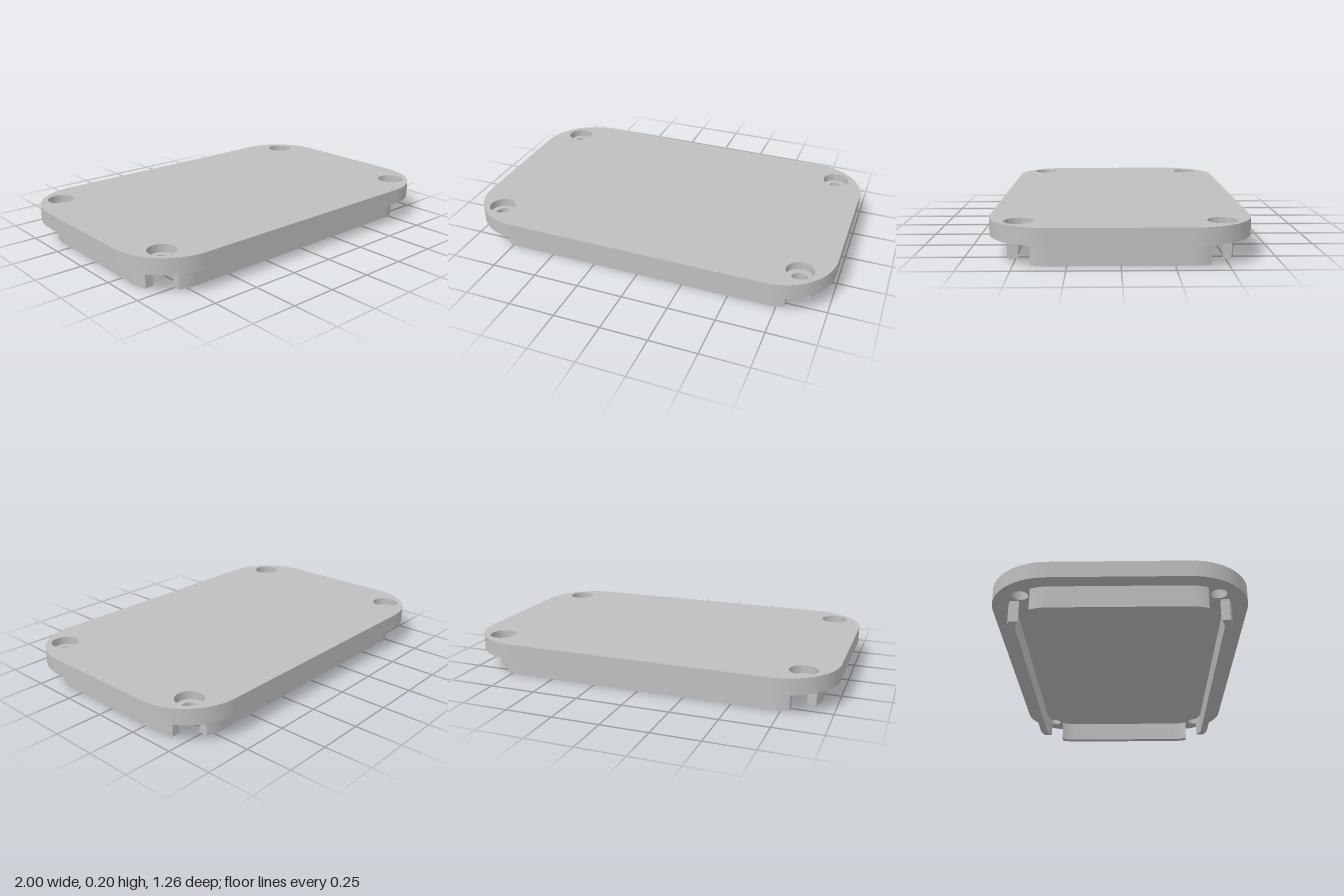
import * as THREE from 'three';
import { toCreasedNormals } from 'three/addons/utils/BufferGeometryUtils.js';

const HALF_X = 1, HALF_Z = 0.63, CORNER = 0.3;
const PLATE_BOTTOM = 0.113, PLATE_TOP = 0.197, SEAT_Y = 0.155;
const HOLE_X = 0.84, HOLE_Z = 0.475, HOLE_R = 0.04, BORE_R = 0.071;
const LIP_OUTER = 0.22, LIP_INNER = 0.18, LIP_OVERRUN = 0.09;

// Extrude a plan shape upwards from y0 to y1, smooth on curves and sharp on edges
function extrudeUp(shape, y0, y1) {
  const g = new THREE.ExtrudeGeometry(shape, { depth: y1 - y0, bevelEnabled: false, curveSegments: 24 });
  g.rotateX(-Math.PI / 2);
  g.translate(0, y0, 0);
  return toCreasedNormals(g, 0.5);
}

// Rounded rectangle with four bored holes
function plateShape(holes) {
  const s = new THREE.Shape();
  const cx = HALF_X - CORNER, cz = HALF_Z - CORNER, q = Math.PI / 2;
  [[cx, cz], [-cx, cz], [-cx, -cz], [cx, -cz]].forEach(([x, z], i) =>
    s.absarc(x, z, CORNER, i * q, (i + 1) * q, false));
  s.closePath();
  for (const [x, z] of holes) {
    const h = new THREE.Path();
    h.absarc(x, z, BORE_R, 0, Math.PI * 2, true);
    s.holes.push(h);
  }
  return s;
}

// Thin strip whose ends start to follow the corner arcs, then stop short
function lipShape(halfStraight, arcCentre) {
  const s = new THREE.Shape();
  const a = Math.acos(LIP_OVERRUN / LIP_OUTER), b = Math.acos(LIP_OVERRUN / LIP_INNER);
  const q = Math.PI / 2;
  s.absarc(halfStraight, arcCentre, LIP_OUTER, a, q, false);
  s.absarc(-halfStraight, arcCentre, LIP_OUTER, q, Math.PI - a, false);
  s.absarc(-halfStraight, arcCentre, LIP_INNER, Math.PI - b, q, true);
  s.absarc(halfStraight, arcCentre, LIP_INNER, q, b, true);
  s.closePath();
  return s;
}

export function createModel() {
  const model = new THREE.Group();
  model.name = 'enclosureLid';
  const grey = new THREE.MeshStandardMaterial({ color: 0xbfbfbf });
  grey.name = 'grey';

  const add = (name, geometry) => {
    const mesh = new THREE.Mesh(geometry, grey);
    mesh.name = name;
    model.add(mesh);
    return mesh;
  };

  // Lid plate
  const holes = [[1, 1], [-1, 1], [-1, -1], [1, -1]].map(([x, z]) => [x * HOLE_X, z * HOLE_Z]);
  add('lidPlate', extrudeUp(plateShape(holes), PLATE_BOTTOM, PLATE_TOP));

  // Stepped screw seats filling the lower part of each bore
  const seat = toCreasedNormals(new THREE.LatheGeometry([
    new THREE.Vector2(BORE_R, SEAT_Y),
    new THREE.Vector2(HOLE_R, SEAT_Y),
    new THREE.Vector2(HOLE_R, PLATE_BOTTOM),
    new THREE.Vector2(BORE_R, PLATE_BOTTOM),
  ], 48), 0.5);
  for (const [x, z] of holes) add('screwSeat', seat).position.set(x, 0, z);

  // Locating lips under the lid, open at the corners
  const cx = HALF_X - CORNER, cz = HALF_Z - CORNER;
  const longLip = extrudeUp(lipShape(cx, cz), 0, PLATE_BOTTOM);
  const shortLip = extrudeUp(lipShape(cz, cx), 0, PLATE_BOTTOM);
  add('backLip', longLip);
  add('frontLip', longLip).rotation.y = Math.PI;
  add('rightLip', shortLip).rotation.y = Math.PI / 2;
  add('leftLip', shortLip).rotation.y = -Math.PI / 2;

  return model;
}
